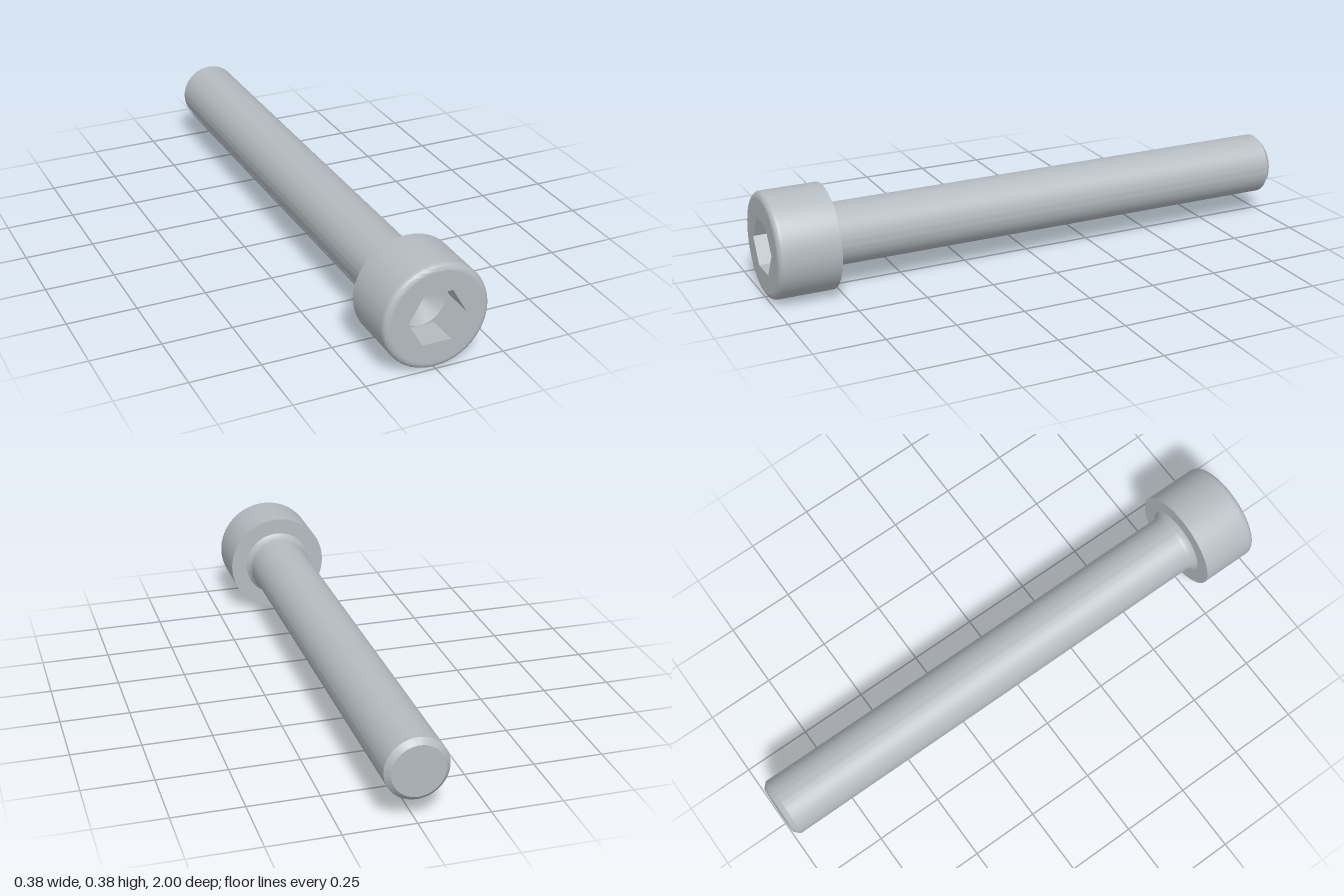
import * as THREE from 'three';
import { toCreasedNormals } from 'three/addons/utils/BufferGeometryUtils.js';

const SEGMENTS = 96;
const HEAD_R = 0.189, SHANK_R = 0.111, HEAD_BACK = 0.778;
const ROUND = 0.022;          // rounded front edge of the head
const HEX_R = 0.1035;         // socket corner radius
const DRILL_R = 0.0888;       // drilled cone, just touching the socket flats
const SOCKET_FLOOR = 0.889;

export function createModel() {
  const steel = new THREE.MeshStandardMaterial({ color: 0xb4bbc0 });
  steel.name = 'steel';

  const screw = new THREE.Group();
  screw.name = 'socketHeadScrew';
  screw.position.y = HEAD_R;

  const add = (name, geometry) => {
    const mesh = new THREE.Mesh(geometry, steel);
    mesh.name = name;
    screw.add(mesh);
  };

  // Revolve [radius, z] points about the z axis
  const turn = (points, segments = SEGMENTS, start = 0, crease = 0.5) => {
    const profile = points.map(([r, z]) => new THREE.Vector2(r, z));
    const lathe = new THREE.LatheGeometry(profile, segments, start);
    return toCreasedNormals(lathe.rotateX(Math.PI / 2), crease);
  };

  // Regular polygon with a corner on +x
  const polygon = (radius, sides) => Array.from({ length: sides }, (_, i) => {
    const a = (i / sides) * Math.PI * 2;
    return new THREE.Vector2(radius * Math.cos(a), radius * Math.sin(a));
  });

  // Flat plate facing +z with a hole in it
  const plate = (outline, hole, z) => {
    const shape = new THREE.Shape(outline);
    shape.holes.push(new THREE.Path(hole));
    return new THREE.ShapeGeometry(shape).translate(0, 0, z);
  };

  // Shank with chamfered tip and a small fillet under the head
  const fillet = new THREE.QuadraticBezierCurve(
    new THREE.Vector2(SHANK_R, 0.748),
    new THREE.Vector2(SHANK_R, 0.763),
    new THREE.Vector2(0.129, HEAD_BACK)
  ).getPoints(6).map((p) => [p.x, p.y]);
  add('shank', turn([[0, -1], [0.092, -1], [SHANK_R, -0.981], ...fillet]));

  // Head: bearing face, side wall and rounded front edge
  const edge = Array.from({ length: 9 }, (_, i) => {
    const a = (i / 8) * Math.PI / 2;
    return [HEAD_R - ROUND + ROUND * Math.cos(a), 1 - ROUND + ROUND * Math.sin(a)];
  });
  add('head', turn([[0.129, HEAD_BACK], [HEAD_R, HEAD_BACK], ...edge]));

  // Front face, pierced by the hexagonal socket
  const hexagon = polygon(HEX_R, 6);
  add('headFace', plate(polygon(HEAD_R - ROUND, SEGMENTS), hexagon, 1));

  // Socket: six inward-facing walls, floor corners and drilled cone
  add('socketWalls', turn([[HEX_R, 1], [HEX_R, SOCKET_FLOOR]], 6, Math.PI / 2));
  add('socketFloor', plate(hexagon, polygon(DRILL_R, SEGMENTS), SOCKET_FLOOR));
  add('socketCone', turn([[DRILL_R, SOCKET_FLOOR], [0, SOCKET_FLOOR - 0.051]]));

  const model = new THREE.Group();
  model.name = 'model';
  model.add(screw);
  return model;
}
